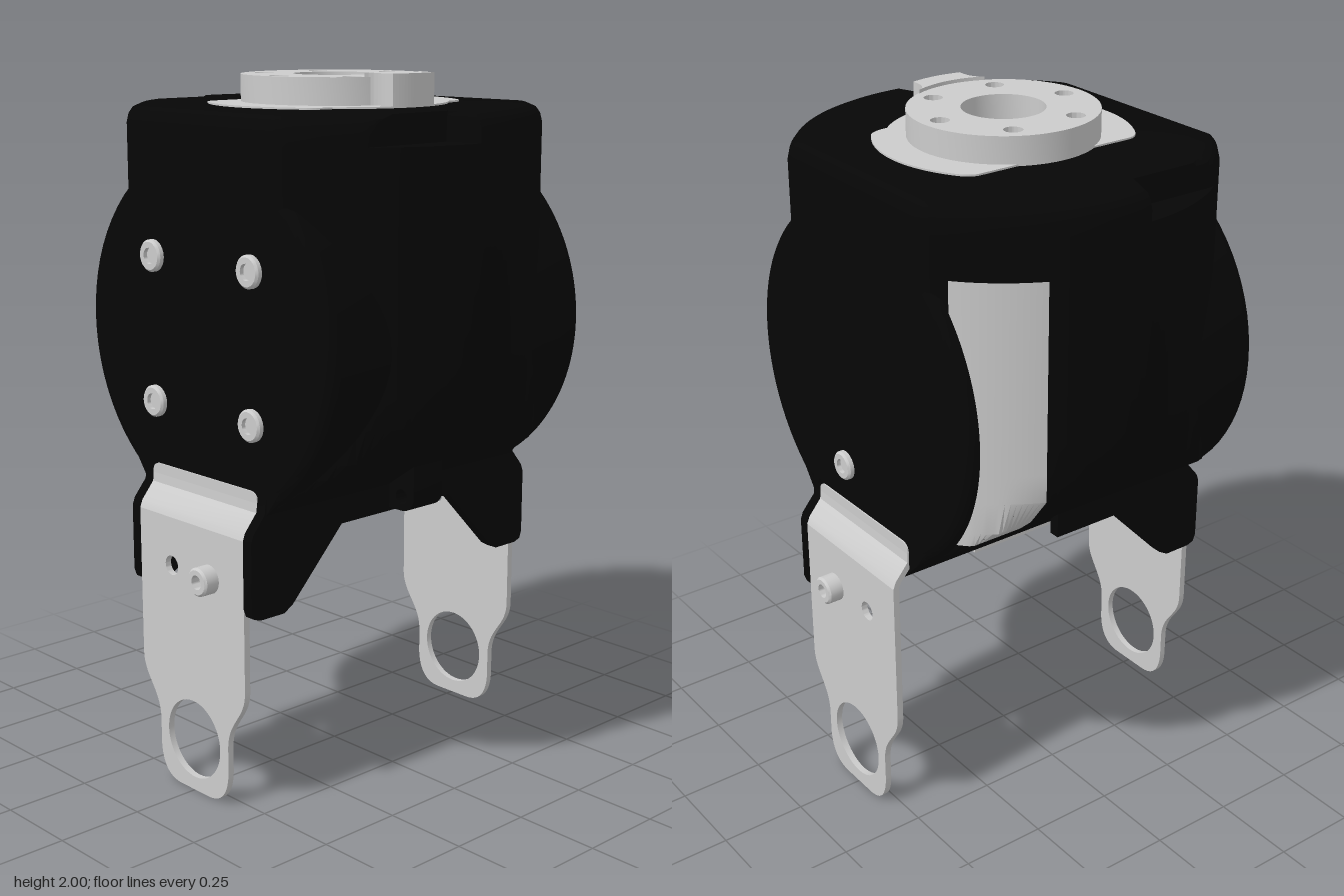
import * as THREE from 'three';
import { toCreasedNormals } from 'three/addons/utils/BufferGeometryUtils.js';

const black = new THREE.MeshStandardMaterial({ color: 0x060606, side: THREE.DoubleSide });
const grey = new THREE.MeshStandardMaterial({ color: 0xcccccc, side: THREE.DoubleSide });

const vec = (pts) => pts.map(([a, b]) => new THREE.Vector2(a, b));
const polygon = (pts) => new THREE.Shape(vec(pts));
const circle = (x, y, r) => new THREE.Path().absarc(x, y, r, 0, Math.PI * 2, true);
const extrude = (shape, depth) =>
  new THREE.ExtrudeGeometry(shape, { depth, bevelEnabled: false, curveSegments: 32 });

// Shell outline at a height: [y, half width, edge inset]
const LEVELS = [
  [0.8, 0.2, 0], [0.86, 0.26, 0], [0.93, 0.36, 0], [0.97, 0.41, 0], [1.01, 0.455, 0], [1.1, 0.525, 0],
  [1.18, 0.562, 0], [1.26, 0.58, 0], [1.72, 0.58, 0], [1.83, 0.58, 0], [1.831, 0.58, 0],
  [1.86, 0.58, 0], [1.885, 0.574, 0.006], [1.9, 0.563, 0.017], [1.91, 0.54, 0.04],
];

// Upright round shell, flattened front and back and narrowed to a U below
function shell(levels, a0, a1, n, grow, capped) {
  const pos = [], index = [], row = n + 1;
  for (const [y, w, inset] of levels) {
    const r = 0.58 - inset + grow, flat = 0.49 - inset;
    for (let j = 0; j <= n; j++) {
      const a = a0 + ((a1 - a0) * j) / n;
      const z = THREE.MathUtils.clamp(r * Math.sin(a), -flat, flat);
      // shallow pockets at the upper front corners
      const limit = y > 1.83 && z > 0.03 && z < 0.33 ? 0.48 : w + grow;
      pos.push(THREE.MathUtils.clamp(r * Math.cos(a), -limit, limit), y, z);
    }
  }
  for (let i = 0; i < levels.length - 1; i++) {
    for (let j = 0; j < n; j++) {
      const a = i * row + j, c = a + row;
      index.push(a, c, a + 1, a + 1, c, c + 1);
    }
  }
  if (capped) {
    const base = pos.length / 3, last = (levels.length - 1) * row;
    pos.push(0, levels[0][0], 0, 0, levels[levels.length - 1][0], 0);
    for (let j = 0; j < n; j++) {
      index.push(base, j, j + 1, base + 1, last + j + 1, last + j);
    }
  }
  const g = new THREE.BufferGeometry();
  g.setAttribute('position', new THREE.Float32BufferAttribute(pos, 3));
  g.setIndex(index);
  g.computeVertexNormals();
  return g;
}

// Disc lying across the body along z, with rounded rims of radius b0 and b1
function disc(z0, z1, b0, b1, start, length) {
  const R = 0.51, profile = [[0, z0]];
  for (let i = 0; i <= 5; i++) {
    const t = (i / 5) * (Math.PI / 2);
    profile.push([R - b0 + b0 * Math.sin(t), z0 + b0 - b0 * Math.cos(t)]);
  }
  for (let i = 0; i <= 5; i++) {
    const t = (i / 5) * (Math.PI / 2);
    profile.push([R - b1 + b1 * Math.cos(t), z1 - b1 + b1 * Math.sin(t)]);
  }
  profile.push([0, z1]);
  const g = new THREE.LatheGeometry(vec(profile), 72, start, length);
  return g.rotateX(Math.PI / 2).translate(0, 1.3, 0);
}

// Socket-head screw pointing along +z, its base at z = 0
function screw(r, h) {
  const g = new THREE.LatheGeometry(vec([
    [r, 0], [r, h - 0.006], [r - 0.006, h], [r * 0.5, h], [r * 0.5, h * 0.4], [0, h * 0.4],
  ]), 24);
  return g.rotateX(Math.PI / 2);
}

export function createModel() {
  const model = new THREE.Group();
  const add = (name, geometry, material, parent = model) => {
    const mesh = new THREE.Mesh(toCreasedNormals(geometry, 0.6), material);
    mesh.name = name;
    parent.add(mesh);
    return mesh;
  };

  // Housing
  add('housingShell', shell(LEVELS, 0, Math.PI * 2, 144, 0, true), black);
  add('frontDisc', disc(0.03, 0.49, 0.01, 0.035, 0, Math.PI * 2), black);
  add('rearHalfDisc', disc(-0.49, 0, 0.035, 0.01, 0, Math.PI), black);
  add('rearRim', disc(-0.49, -0.455, 0.03, 0.002, Math.PI, Math.PI), black);
  add('sideSlot', shell(LEVELS.slice(3, 9), Math.PI + 0.45, Math.PI + 0.88, 16, 0.003, false), grey);

  // Cable ear under the left side
  const ear = new THREE.Shape();
  ear.moveTo(0.2, 0.79);
  ear.lineTo(0.31, 0.79);
  ear.absarc(0.31, 0.835, 0.045, -Math.PI / 2, 0, false);
  ear.lineTo(0.355, 0.94);
  ear.lineTo(0.2, 0.94);
  ear.holes.push(circle(0.307, 0.83, 0.022));
  add('cableEar', extrude(ear, 0.115).translate(0, 0, -0.085), black);

  // Motor face plate: a disc with flat sides, rounded corners and a bulge on the left
  const plate = new THREE.Shape();
  plate.absarc(0, 0, 0.355, 0.96, Math.PI - 0.96, false);
  plate.quadraticCurveTo(-0.23, 0.27, -0.23, 0.245);
  plate.lineTo(-0.23, -0.245);
  plate.quadraticCurveTo(-0.23, -0.27, -0.204, -0.291);
  plate.absarc(0, 0, 0.355, Math.PI + 0.96, 2 * Math.PI - 0.96, false);
  plate.quadraticCurveTo(0.23, -0.27, 0.23, -0.225);
  plate.absarc(0, 0, 0.32, -0.77, 0.77, false);
  plate.quadraticCurveTo(0.23, 0.27, 0.204, 0.291);
  add('motorPlate', extrude(plate, 0.013).rotateX(-Math.PI / 2).translate(0, 1.902, 0), grey);

  // Output horn with bore, six holes and a stop tab
  const horn = new THREE.Shape().absarc(0, 0, 0.262, 0, Math.PI * 2, false);
  horn.holes.push(circle(0, 0, 0.115));
  for (let i = 0; i < 6; i++) {
    const t = Math.PI / 6 + (i * Math.PI) / 3;
    horn.holes.push(circle(0.207 * Math.cos(t), 0.207 * Math.sin(t), 0.026));
  }
  add('outputHorn', extrude(horn, 0.08).rotateX(-Math.PI / 2).translate(0, 1.91, 0), grey);
  const tab = new THREE.Shape();
  tab.absarc(0, 0, 0.32, -0.25, 0.25, false);
  tab.quadraticCurveTo(0.25, 0.075, 0.235, 0.11);
  tab.absarc(0, 0, 0.259, 0.44, -0.44, true);
  tab.quadraticCurveTo(0.25, -0.075, 0.31, -0.079);
  add('stopTab', extrude(tab, 0.09).rotateX(-Math.PI / 2).translate(0, 1.91, 0), grey);

  // Housing screws
  for (const x of [-0.205, 0.205]) {
    for (const y of [1.095, 1.505]) {
      add('frontScrew', screw(0.045, 0.02), grey).position.set(x, y, 0.488);
    }
  }
  const rearScrew = add('rearScrew', screw(0.042, 0.02), grey);
  rearScrew.position.set(0.08, 1.03, -0.488);
  rearScrew.rotation.y = Math.PI;

  // Bracket cheeks: side plates that flank the straps
  const cheek = polygon([
    [0, 0.78], [0.215, 0.78], [0.4, 0.587], [0.43, 0.57], [0.515, 0.57], [0.537, 0.578],
    [0.545, 0.6], [0.545, 0.79], [0.537, 0.812], [0.497, 0.86], [0.491, 0.9], [0, 0.9],
  ]);
  for (const [x, side] of [[-0.242, 1], [0.242, 1], [0.242, -1]]) {
    // profile is drawn in (z, y)
    const g = extrude(cheek, 0.034).translate(0, 0, -0.017).rotateY(-Math.PI / 2);
    const mesh = add('bracketCheek', g, black);
    mesh.rotation.y = side > 0 ? 0 : Math.PI;
    mesh.position.x = x;
  }
  add('bottomPlate', new THREE.BoxGeometry(0.4, 0.012, 0.5).translate(0, 0.796, 0), grey);

  // Straps: flat plate with an eye, bent inward at the top
  const strap = new THREE.Shape();
  strap.moveTo(-0.225, 0.79);
  strap.lineTo(-0.225, 0.36);
  strap.bezierCurveTo(-0.225, 0.28, -0.15, 0.26, -0.15, 0.17);
  strap.lineTo(-0.15, 0.1);
  strap.quadraticCurveTo(-0.145, 0, -0.06, 0);
  strap.lineTo(0.06, 0);
  strap.quadraticCurveTo(0.145, 0, 0.15, 0.1);
  strap.lineTo(0.15, 0.17);
  strap.bezierCurveTo(0.15, 0.26, 0.225, 0.28, 0.225, 0.36);
  strap.lineTo(0.225, 0.79);

  // Bend profile in (z, y), and the round-cornered lip above it
  const bend = polygon([
    [0.525, 0.79], [0.544, 0.79], [0.535, 0.812], [0.496, 0.859], [0.494, 0.885],
    [0.478, 0.885], [0.478, 0.85], [0.518, 0.805],
  ]);
  const lip = new THREE.Shape();
  lip.moveTo(-0.225, 0.885);
  lip.lineTo(0.225, 0.885);
  lip.quadraticCurveTo(0.225, 0.915, 0.195, 0.915);
  lip.lineTo(-0.195, 0.915);
  lip.quadraticCurveTo(-0.225, 0.915, -0.225, 0.885);

  for (const side of [1, -1]) {
    const group = new THREE.Group();
    group.name = side > 0 ? 'frontStrap' : 'rearStrap';
    const shape = strap.clone();
    shape.holes = [circle(0, 0.155, 0.115), circle(-0.085 * side, 0.65, 0.028)];
    add('strapPlate', extrude(shape, 0.019).translate(0, 0, 0.525), grey, group);
    add('strapBend', extrude(bend, 0.45).translate(0, 0, -0.225).rotateY(-Math.PI / 2), grey, group);
    add('strapLip', extrude(lip, 0.016).translate(0, 0, 0.478), grey, group);
    add('strapScrew', screw(0.041, 0.047), grey, group).position.set(0.08 * side, 0.65, 0.543);
    const inner = add('strapInnerScrew', screw(0.041, 0.025), grey, group);
    inner.position.set(0.08 * side, 0.65, 0.526);
    inner.rotation.y = Math.PI;
    group.rotation.y = side > 0 ? 0 : Math.PI;
    model.add(group);
  }
  return model;
}
